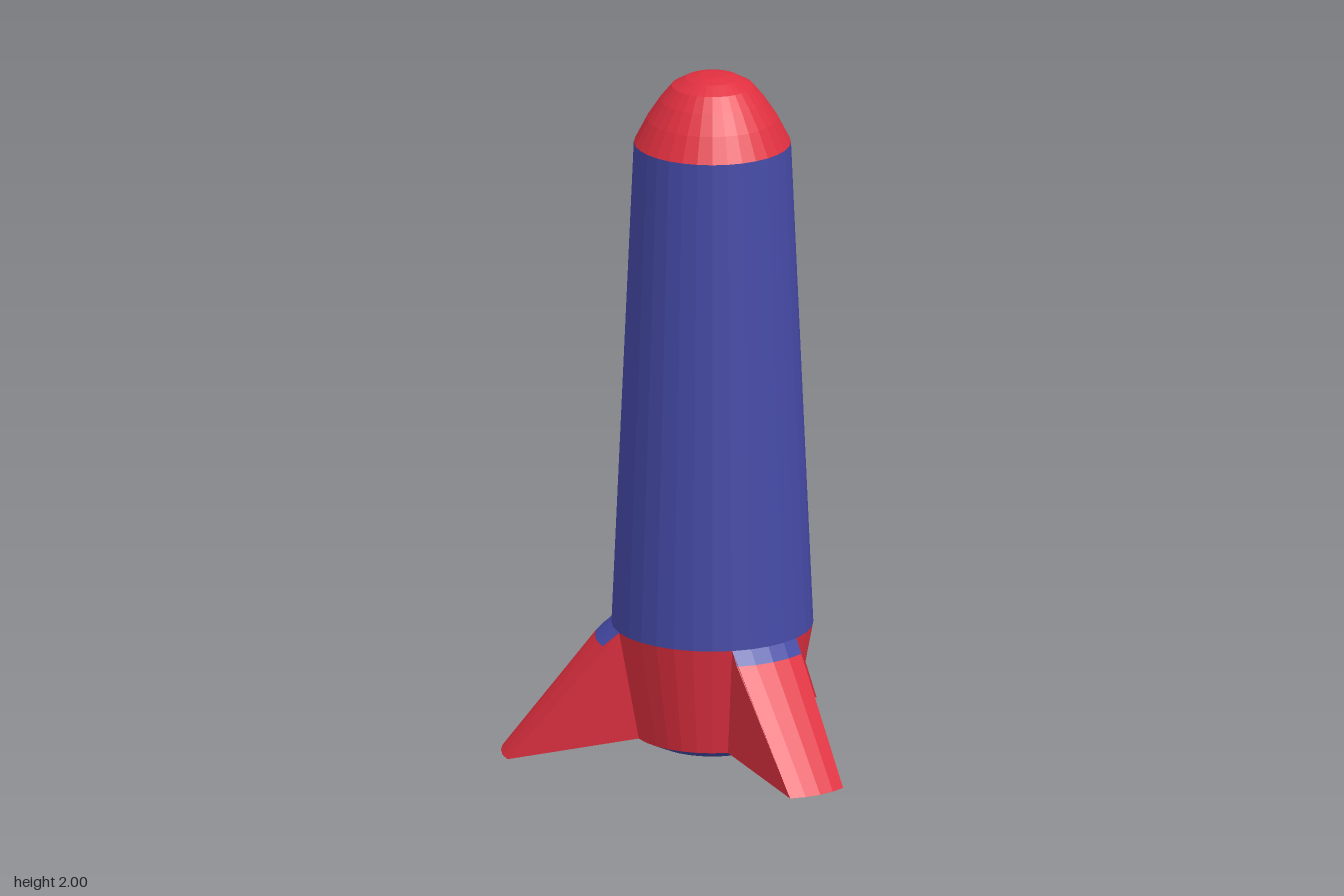
import * as THREE from 'three';

const SIDES = 32;
const STEP = (Math.PI * 2) / SIDES;
const R_TOP = 0.285, R_FOOT = 0.225; // body radius at the head and foot of the fins

const paint = (color) => new THREE.MeshStandardMaterial({ color, flatShading: true });
const red = paint(0xe03040);
const blue = paint(0x454aa6);

function addMesh(parent, name, geometry, material) {
  const mesh = new THREE.Mesh(geometry, material);
  mesh.name = name;
  parent.add(mesh);
}

function lathe(points) {
  return new THREE.LatheGeometry(points.map(([r, y]) => new THREE.Vector2(r, y)), SIDES);
}

// Five points spanning four body facets, scaled and pushed outwards along +z
function arc(radius, shift, y) {
  return [-2, -1, 0, 1, 2].map((i) =>
    [Math.sin(i * STEP) * radius, y, Math.cos(i * STEP) * radius + shift]);
}

// Triangles from corner loops listed counter-clockwise as seen from outside
function facets(quads) {
  const pos = [];
  for (const [a, b, c, d] of quads) pos.push(...a, ...b, ...c, ...a, ...c, ...d);
  const g = new THREE.BufferGeometry();
  g.setAttribute('position', new THREE.Float32BufferAttribute(pos, 3));
  g.computeVertexNormals();
  return g;
}

// Strip between an upper and a lower arc
function strip(upper, lower) {
  return [0, 1, 2, 3].map((i) => [upper[i], lower[i], lower[i + 1], upper[i + 1]]);
}

function createFin({ name, turn, shoulder, reach, tipY }) {
  const fin = new THREE.Group();
  fin.name = name;
  fin.rotation.y = turn * STEP;

  const tipRadius = 0.235;
  const head = arc(R_TOP, 0, 0.38);
  const crest = arc(R_TOP, shoulder, 0.34);
  const tip = arc(tipRadius, reach - tipRadius, tipY);
  const foot = arc(R_FOOT, 0, 0.06);

  addMesh(fin, 'finShoulder', facets(strip(head, crest)), blue);
  addMesh(fin, 'finUnderside', facets(strip(tip, foot)), blue);
  addMesh(fin, 'finFaces', facets([
    ...strip(crest, tip),
    [head[0], foot[0], tip[0], crest[0]],
    [head[4], crest[4], tip[4], foot[4]],
  ]), red);
  return fin;
}

export function createModel() {
  const model = new THREE.Group();
  model.name = 'rocket';
  const rocket = new THREE.Group();
  rocket.name = 'rocketBody';
  rocket.position.set(0.01, 0, -0.077);
  model.add(rocket);

  // Hull, from bottom to top
  addMesh(rocket, 'basePlate', lathe([[0, 0.03], [0.16, 0.03], [R_FOOT, 0.06]]), blue);
  addMesh(rocket, 'tailSection', lathe([[R_FOOT, 0.06], [R_TOP, 0.38]]), red);
  addMesh(rocket, 'hull', lathe([[R_TOP, 0.38], [0.222, 1.8]]), blue);
  addMesh(rocket, 'noseCone', lathe([
    [0.222, 1.8], [0.185, 1.872], [0.148, 1.928], [0.115, 1.968],
    [0.075, 1.99], [0.035, 2], [0, 2],
  ]), red);

  // Three fins, turned by whole facets
  const fins = [
    { name: 'frontFin', turn: 0, shoulder: 0.025, reach: 0.547, tipY: 0.01 },
    { name: 'leftRearFin', turn: 11, shoulder: 0.04, reach: 0.57, tipY: 0.005 },
    { name: 'rightRearFin', turn: -11, shoulder: 0.047, reach: 0.597, tipY: 0 },
  ];
  for (const f of fins) rocket.add(createFin(f));

  return model;
}
